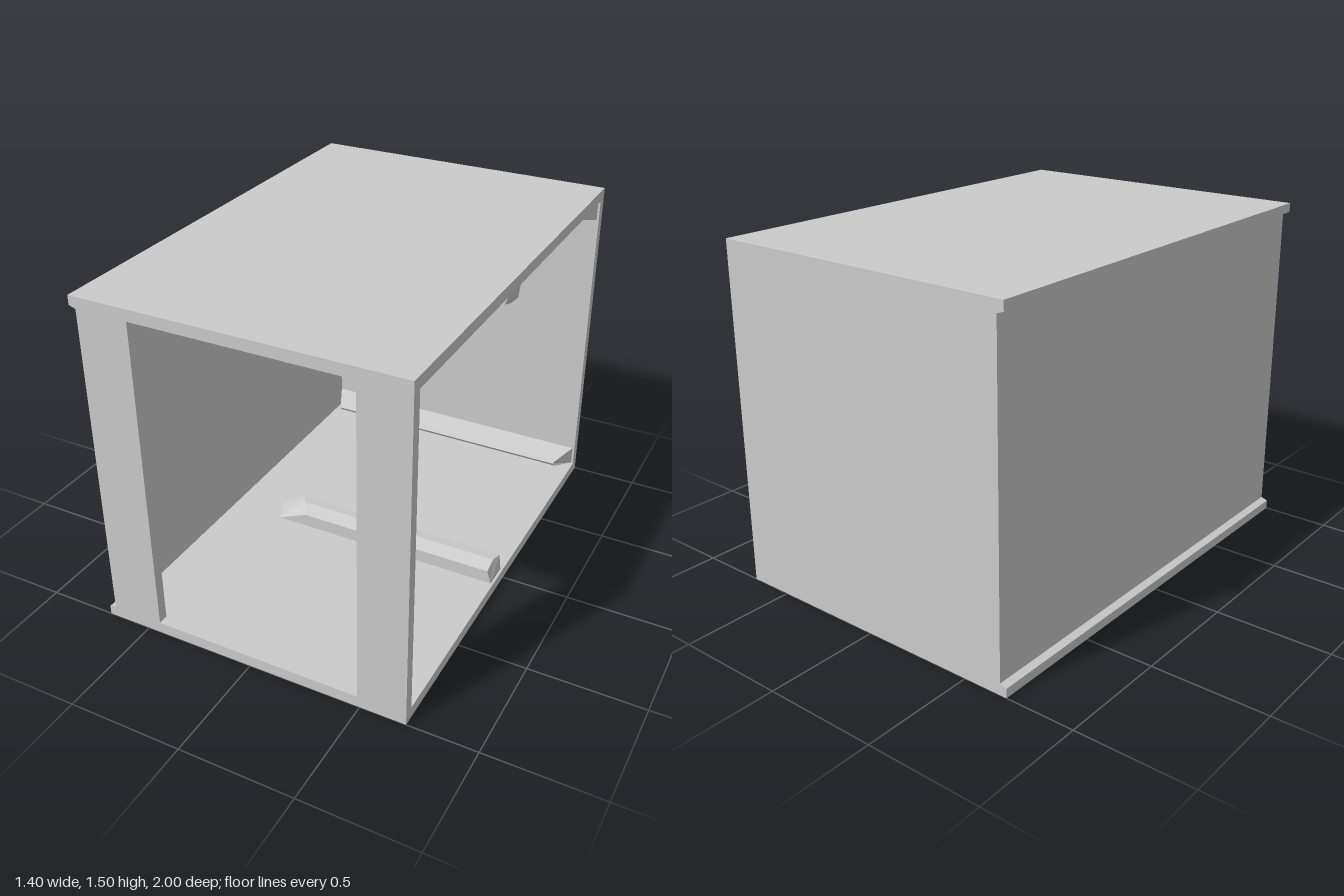
import * as THREE from 'three';

const W = 0.7, D = 1, H = 1.5, T = 0.05;
const material = new THREE.MeshStandardMaterial({ color: 0xcccccc, flatShading: true });

function add(parent, name, geometry) {
  const mesh = new THREE.Mesh(geometry, material);
  mesh.name = name;
  parent.add(mesh);
}

// Box given by its lower and upper limits
function span(x0, x1, y0, y1, z0, z1) {
  return new THREE.BoxGeometry(x1 - x0, y1 - y0, z1 - z0)
    .translate((x0 + x1) / 2, (y0 + y1) / 2, (z0 + z1) / 2);
}

// Slab with a small chamfer on the lip that overhangs the recessed side wall
function slab(top) {
  const points = [[-W, 0], [W, 0], [W, T], [-0.67, T], [-W, 0.04]]
    .map(([x, y]) => new THREE.Vector2(x, top ? H - y : y));
  return new THREE.ExtrudeGeometry(new THREE.Shape(points), { depth: 2 * D, bevelEnabled: false })
    .translate(0, 0, -D);
}

// Rail from a profile of [z, y, left end x, right end x]; the ends are slanted
function rail(profile, top) {
  const n = profile.length;
  const ends = [2, 3].map((k) => profile.map((p) => [p[k], top ? H - p[1] : p[1], p[0]]));
  const [a, b] = ends;
  const out = [];
  const tri = (p, q, r) => (top ? out.push(...p, ...r, ...q) : out.push(...p, ...q, ...r));
  for (let i = 0; i < n; i++) {
    const j = (i + 1) % n;
    tri(a[i], b[i], b[j]);
    tri(a[i], b[j], a[j]);
    if (i > 0 && i < n - 1) {
      tri(a[0], a[i], a[i + 1]);
      tri(b[0], b[i + 1], b[i]);
    }
  }
  const geometry = new THREE.BufferGeometry();
  geometry.setAttribute('position', new THREE.Float32BufferAttribute(out, 3));
  geometry.computeVertexNormals();
  return geometry;
}

// Profiles run from the front foot over the top to the rear foot
const middleProfile = [
  [0.125, 0.045, -0.39, 0.69],
  [0.125, 0.11, -0.24, 0.67],
  [0.06, 0.13, -0.28, 0.67],
  [0.01, 0.125, -0.31, 0.68],
  [0.01, 0.045, -0.43, 0.69],
];
const rearProfile = [
  [-0.955, 0.055, -0.63, 0.69],
  [-0.85, 0.08, -0.58, 0.64],
  [-0.84, 0.095, -0.57, 0.63],
  [-0.85, 0.11, -0.58, 0.64],
  [-0.955, 0.14, -0.63, 0.69],
];

export function createModel() {
  const model = new THREE.Group();
  model.name = 'openCabinet';

  // Shell: open on the right, with a wide opening in the front
  add(model, 'bottomPanel', slab(false));
  add(model, 'topPanel', slab(true));
  add(model, 'leftWall', span(-0.67, -0.63, T, H - T, -0.955, 0.955));
  add(model, 'backWall', span(-0.67, W, T, H - T, -D, -0.955));
  add(model, 'frontLeftPost', span(-0.67, -0.44, T, H - T, 0.955, D));
  add(model, 'frontRightPost', span(0.49, W, T, H - T, 0.955, D));

  // Rails on the floor, mirrored on the ceiling
  for (const top of [false, true]) {
    const side = top ? 'upper' : 'lower';
    add(model, side + 'MiddleRail', rail(middleProfile, top));
    add(model, side + 'RearRail', rail(rearProfile, top));
  }
  return model;
}
